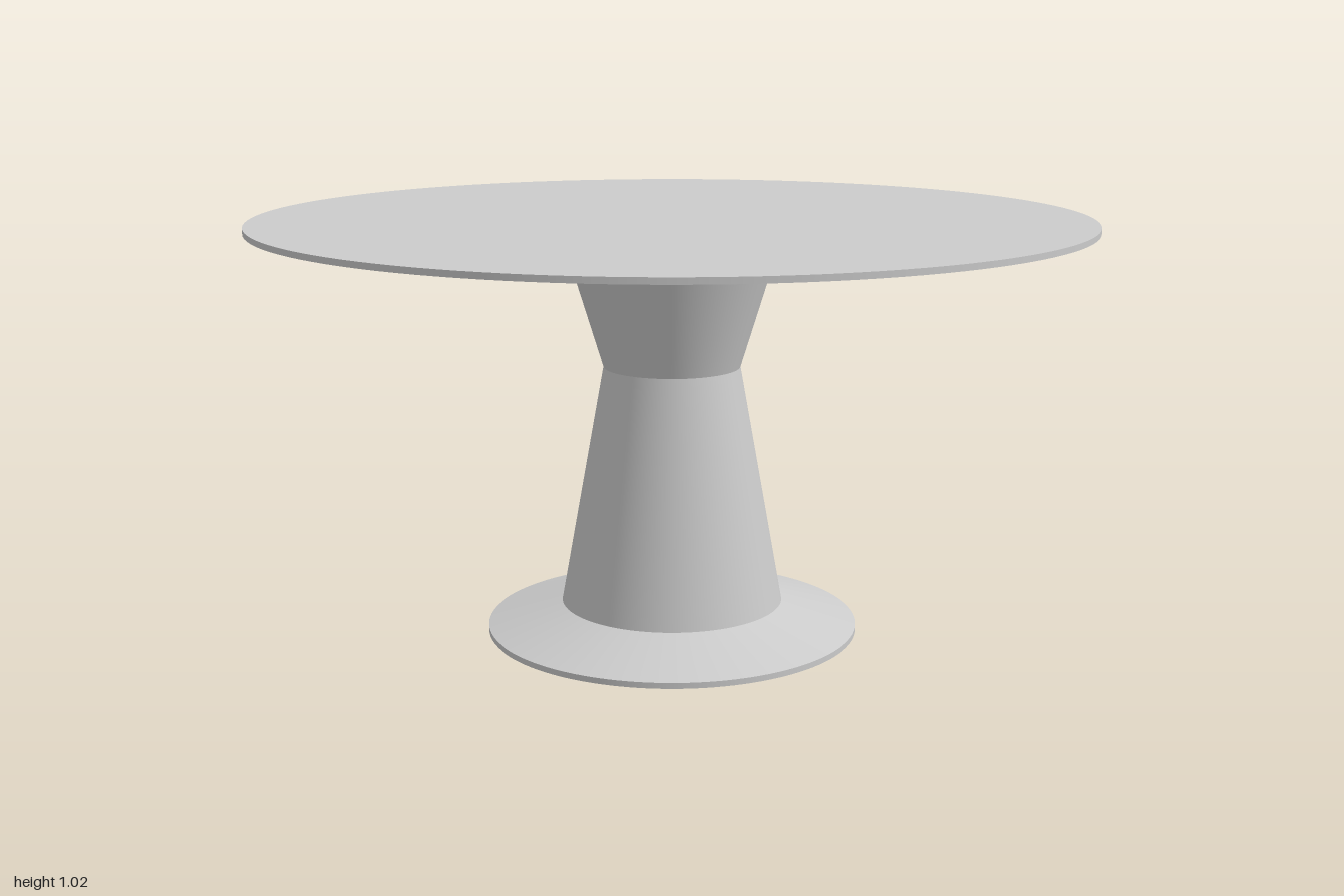
import * as THREE from 'three';

const SEGMENTS = 128;

export function createModel() {
  const group = new THREE.Group();
  const material = new THREE.MeshStandardMaterial({ color: 0xcccccc });

  // Round section from y0 (radius r0) up to y1 (radius r1)
  const section = (name, y0, r0, y1, r1, open = false) => {
    const geometry = new THREE.CylinderGeometry(r1, r0, y1 - y0, SEGMENTS, 1, open);
    const mesh = new THREE.Mesh(geometry, material);
    mesh.name = name;
    mesh.position.y = (y0 + y1) / 2;
    group.add(mesh);
  };

  // Foot: thin rim disc with a shallow cone on it
  section('footRim', 0, 0.457, 0.014, 0.457);
  section('footSlope', 0.014, 0.457, 0.069, 0.272, true);

  // Pedestal: two tapers meeting at a narrow waist
  section('lowerColumn', 0.069, 0.272, 0.657, 0.166, true);
  section('upperColumn', 0.657, 0.166, 1.003, 0.272, true);

  // Thin round top
  section('tableTop', 1.003, 1, 1.017, 1);

  return group;
}
